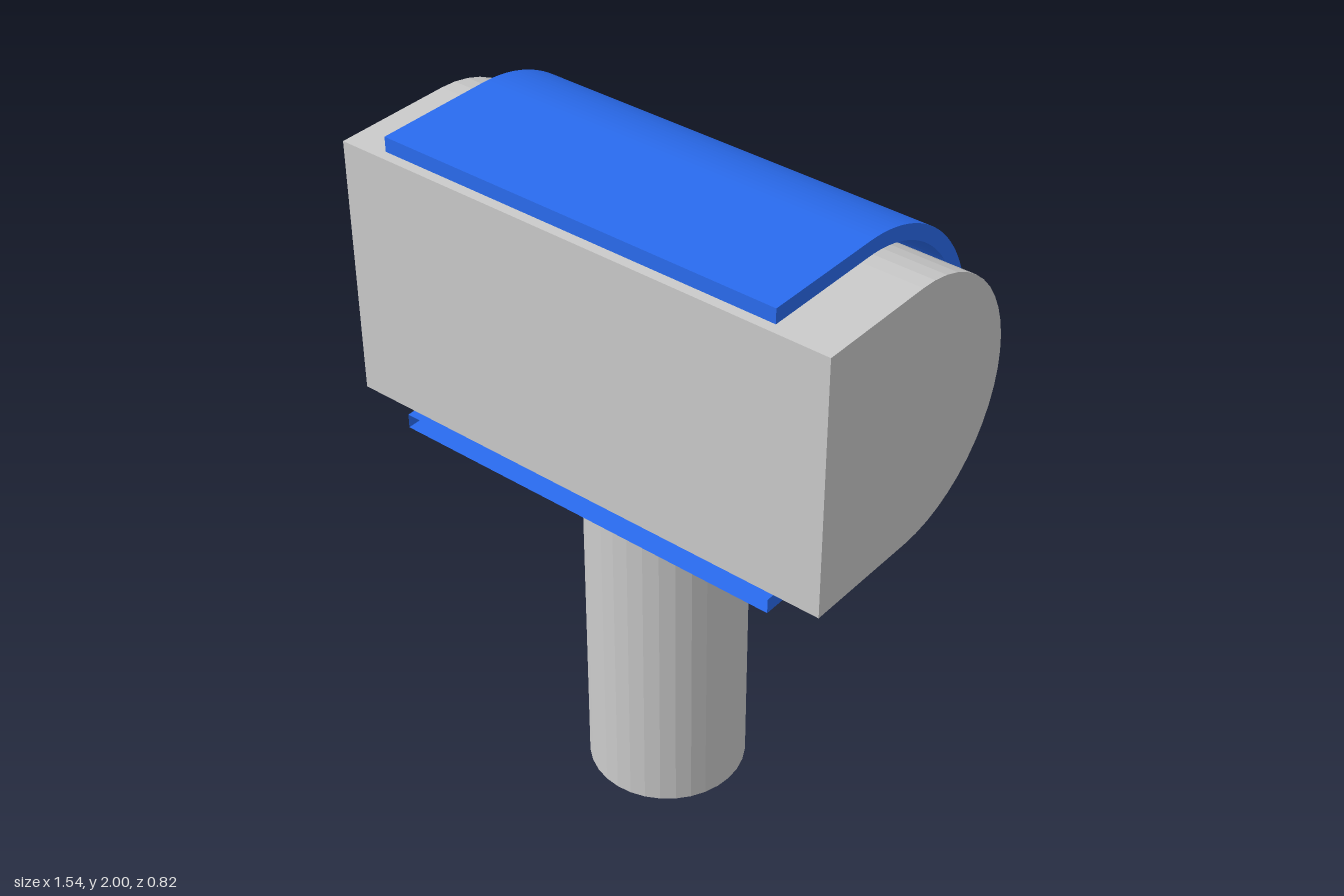
import * as THREE from 'three';

const CY = 1.547, CZ = 0.045, FRONT = 0.41;

// Extrude a side profile (drawn with -z to the right) along x, centred on x = 0
function extrudeAlongX(shape, width, curveSegments) {
  const geo = new THREE.ExtrudeGeometry(shape, { depth: width, bevelEnabled: false, curveSegments });
  return geo.translate(0, 0, -width / 2).rotateY(Math.PI / 2);
}

// D-shaped profile: flat front, half-round back
function headProfile(r) {
  const s = new THREE.Shape();
  s.moveTo(-FRONT, CY - r);
  s.lineTo(-CZ, CY - r);
  s.absarc(-CZ, CY, r, -Math.PI / 2, Math.PI / 2, false);
  s.lineTo(-FRONT, CY + r);
  s.closePath();
  return s;
}

// U-shaped band profile, open to the front
function bandProfile(outer, inner) {
  const s = new THREE.Shape();
  s.moveTo(-FRONT, CY - outer);
  s.lineTo(-CZ, CY - outer);
  s.absarc(-CZ, CY, outer, -Math.PI / 2, Math.PI / 2, false);
  s.lineTo(-FRONT, CY + outer);
  s.lineTo(-FRONT, CY + inner);
  s.lineTo(-CZ, CY + inner);
  s.absarc(-CZ, CY, inner, Math.PI / 2, -Math.PI / 2, true);
  s.lineTo(-FRONT, CY - inner);
  s.closePath();
  return s;
}

// Leave the lower front rim of the band open
function openLowerRim(geo) {
  const p = geo.attributes.position, kept = [];
  for (let i = 0; i < p.count; i += 3) {
    const rim = [i, i + 1, i + 2].every(k => p.getZ(k) > FRONT - 1e-4 && p.getY(k) < CY);
    if (!rim) for (let k = i; k < i + 3; k++) kept.push(p.getX(k), p.getY(k), p.getZ(k));
  }
  const open = new THREE.BufferGeometry();
  open.setAttribute('position', new THREE.Float32BufferAttribute(kept, 3));
  open.computeVertexNormals();
  return open;
}

export function createModel() {
  const group = new THREE.Group();
  const grey = new THREE.MeshStandardMaterial({ color: 0xcccccc, flatShading: true });
  const blue = new THREE.MeshStandardMaterial({ color: 0x2a6cf0, side: THREE.DoubleSide });

  const add = (name, geo, mat) => {
    const mesh = new THREE.Mesh(geo, mat);
    mesh.name = name;
    group.add(mesh);
    return mesh;
  };

  // Post, running up into the head
  const top = 1.4;
  add('post', new THREE.CylinderGeometry(0.231, 0.231, top, 32), grey).position.set(0, top / 2, 0.05);

  // Head with a rounded back
  add('head', extrudeAlongX(headProfile(0.385), 1.54, 12), grey);

  // Curved band wrapped around the back of the head
  add('band', openLowerRim(extrudeAlongX(bandProfile(0.453, 0.41), 1.23, 40)), blue);

  return group;
}
